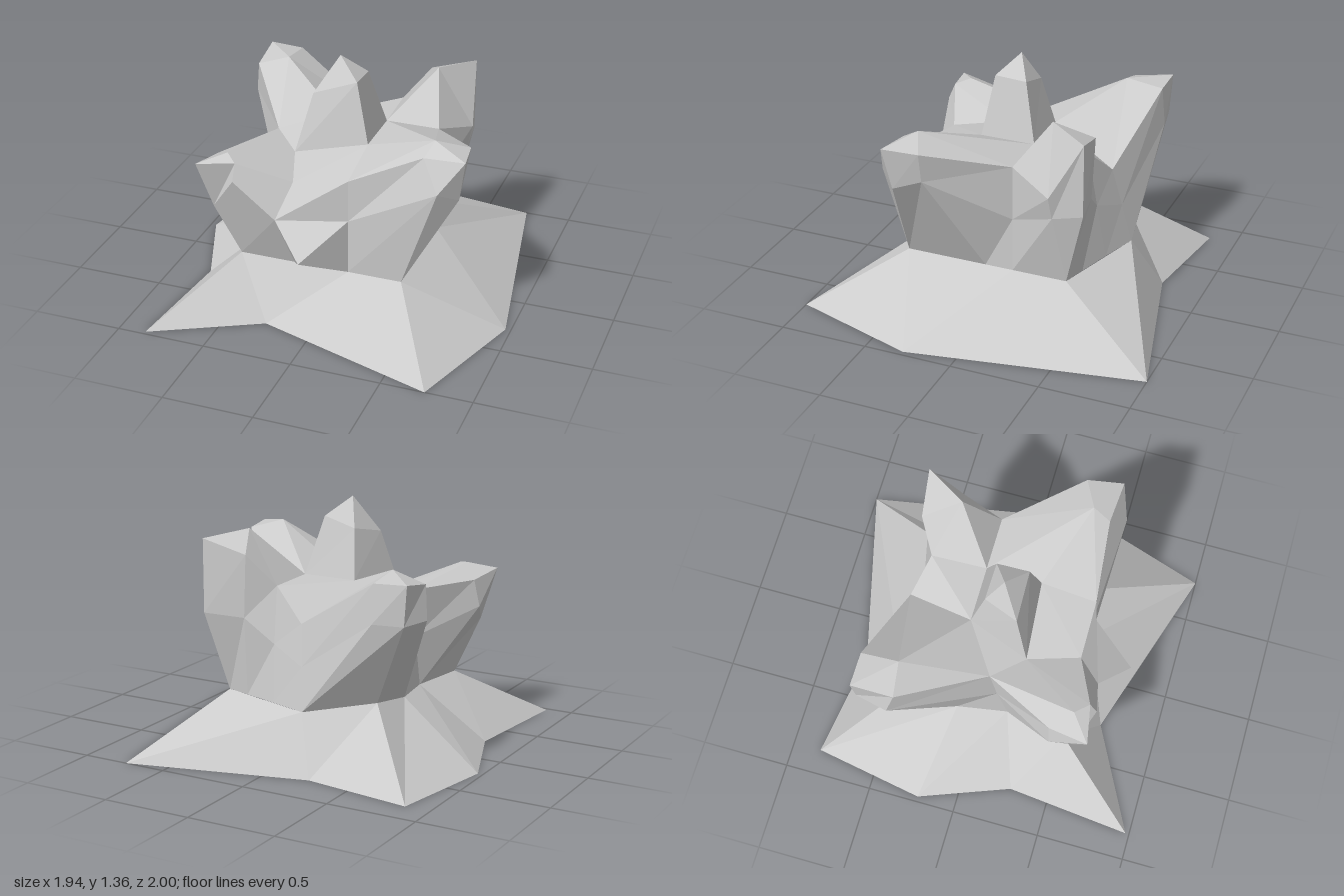
import * as THREE from 'three';

const material = new THREE.MeshStandardMaterial({
  color: 0xcccccc, flatShading: true, side: THREE.DoubleSide,
});

// Faceted skin over neighbouring columns of points, each listed from outside/bottom to top.
function skin(name, columns, closed = false) {
  const out = [];
  const same = (p, q) => p.every((v, k) => v === q[k]);
  const tri = (a, b, c) => {
    if (!same(a, b) && !same(b, c) && !same(a, c)) out.push(...a, ...b, ...c);
  };
  const n = columns.length;
  for (let i = 0; i < (closed ? n : n - 1); i++) {
    const l = columns[i], r = columns[(i + 1) % n];
    for (let j = 0; j < l.length - 1; j++) {
      tri(l[j], r[j], r[j + 1]);
      tri(l[j], r[j + 1], l[j + 1]);
    }
  }
  const geometry = new THREE.BufferGeometry();
  geometry.setAttribute('position', new THREE.Float32BufferAttribute(out, 3));
  geometry.computeVertexNormals();
  const mesh = new THREE.Mesh(geometry, material);
  mesh.name = name;
  return mesh;
}

export function createModel() {
  const group = new THREE.Group();

  // Corners of the spire's foot, where all petals meet
  const core = {
    frontRight: [-0.27, 0.83, 0.22], frontLeft: [0.14, 0.93, 0.19],
    backLeft: [0.14, 0.93, -0.12], backRight: [-0.17, 0.93, -0.12],
  };

  // Feet shared by the petals and the skirt
  const foot = {
    frontA: [-0.17, 0.31, 0.5], frontB: [0.14, 0.31, 0.5], frontLeft: [0.44, 0.31, 0.5],
    left: [0.44, 0.31, -0.12], backLeft: [0.44, 0.31, -0.43], back: [-0.12, 0.31, -0.6],
    backRight: [-0.48, 0.37, -0.43], rightA: [-0.48, 0.32, -0.12],
    rightB: [-0.43, 0.31, 0.16], frontRight: [-0.48, 0.31, 0.5],
  };

  // Notches between petals: foot, middle, rim, ridge, core
  const front = [
    [foot.frontA, [-0.23, 0.62, 0.62], [-0.17, 0.8, 0.5], core.frontRight, core.frontRight],
    [foot.frontB, [0.14, 0.62, 0.5], [0.14, 0.86, 0.5], core.frontLeft, core.frontLeft],
  ];
  const leftRim = [0.44, 0.93, -0.12];
  const left = [foot.left, [0.44, 0.62, -0.12], leftRim, leftRim, core.backLeft];
  const backRim = [[0.13, 0.93, -0.43], [-0.06, 0.76, -0.5]];
  const back = [
    [[0.1, 0.31, -0.53], [0.12, 0.62, -0.48], backRim[0], backRim[0], core.backLeft],
    [foot.back, [-0.09, 0.54, -0.55], backRim[1], backRim[1], core.backRight],
  ];
  const rightRim = [-0.43, 0.87, 0.06];
  const right = [foot.rightB, [-0.43, 0.6, 0.1], rightRim, rightRim, core.backRight];

  // A petal spans two notches; its own columns share one ridge point and one core corner
  const petal = (name, from, to, ridge, inner, columns) =>
    group.add(skin(name, [from, ...columns.map((c) => [...c, ridge, inner]), to]));

  petal('frontLeftPetal', front[1], left, [0.57, 1.11, 0.36], core.frontLeft, [
    [foot.frontLeft, [0.64, 0.89, 0.54], [0.54, 1.05, 0.46]],
    [foot.frontLeft, [0.73, 0.83, 0.44], [0.77, 1.07, 0.48]],
    [[0.44, 0.31, 0.04], [0.71, 0.89, 0.28], [0.74, 1.06, 0.28]],
  ]);
  petal('backLeftPetal', left, back[0], [0.37, 1.2, -0.32], core.backLeft, [
    [foot.backLeft, [0.53, 0.72, -0.38], [0.56, 0.85, -0.37]],
    [foot.backLeft, [0.52, 0.76, -0.55], [0.52, 1.17, -0.55]],
    [[0.3, 0.31, -0.47], [0.29, 0.75, -0.51], [0.27, 1.1, -0.52]],
  ]);
  petal('backRightPetal', back[1], right, [-0.55, 1.09, -0.4], core.backRight, [
    [foot.back, [-0.55, 0.85, -0.63], [-0.55, 1.06, -0.61]],
    [foot.backRight, [-0.72, 0.85, -0.6], [-0.74, 1.07, -0.61]],
    [foot.rightA, [-0.76, 0.85, -0.42], [-0.73, 1.03, -0.38]],
  ]);
  petal('frontRightPetal', right, front[0], [-0.52, 0.94, 0.55], core.frontRight, [
    [foot.rightB, [-0.65, 0.72, 0.45], [-0.62, 0.87, 0.44]],
    [foot.frontRight, [-0.6, 0.62, 0.58], [-0.66, 0.9, 0.66]],
    [foot.frontRight, [-0.45, 0.83, 0.66], [-0.45, 0.92, 0.62]],
  ]);
  group.add(skin('frontWall', front), skin('backWall', back));

  // Central spire
  const peak = [-0.07, 1.36, 0.04];
  group.add(skin('spire', [
    [core.frontRight, [-0.19, 1.16, 0.14], peak],
    [core.frontLeft, [0.06, 1.26, 0.14], peak],
    [core.backLeft, [0.06, 1.25, -0.04], peak],
    [core.backRight, [-0.13, 1.2, -0.05], peak],
  ], true));

  // Small pyramid on the front wall
  const tip = [-0.04, 0.47, 0.77];
  group.add(skin('frontSpike',
    [front[0][0], front[1][0], front[1][1], front[0][1]].map((p) => [p, tip]), true));

  // Star-shaped skirt: ground x, z and the foot it rises to
  group.add(skin('skirt', [
    [-0.27, 0.68, foot.frontRight], [-0.27, 0.68, foot.frontA],
    [0.74, 1, foot.frontB], [0.74, 1, foot.frontLeft],
    [0.97, 0.29, foot.frontLeft], [0.97, 0.29, foot.left],
    [0.74, -1, foot.left], [0.74, -1, foot.backLeft],
    [-0.25, -0.75, foot.back], [-0.86, -0.84, foot.backRight],
    [-0.97, -0.22, foot.rightA], [-0.78, 0.28, foot.rightB],
    [-0.85, 0.98, foot.frontRight],
  ].map(([x, z, top]) => [[x, 0, z], top]), true));

  return group;
}
